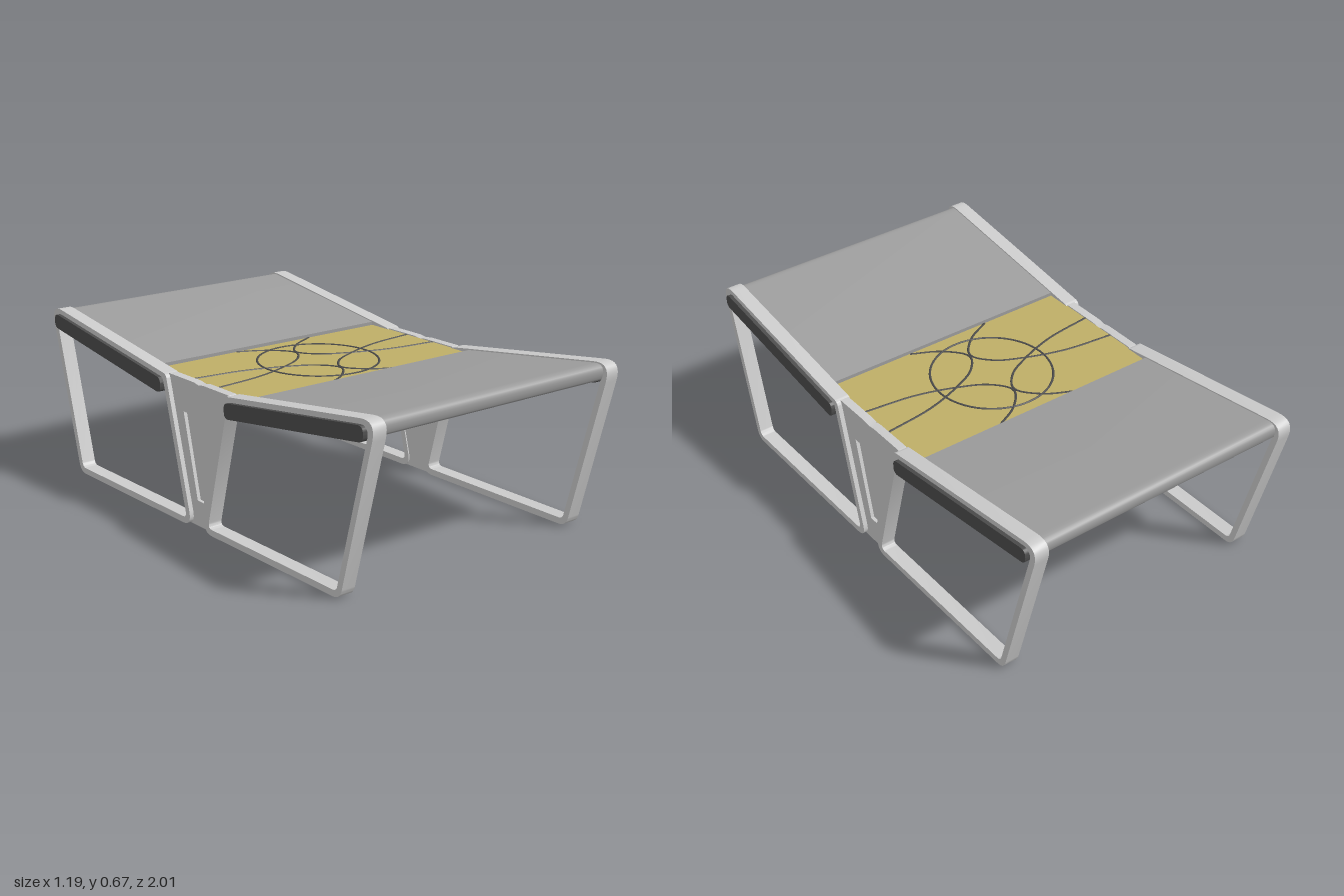
import * as THREE from 'three';
import { toCreasedNormals } from 'three/addons/utils/BufferGeometryUtils.js';

const metal = new THREE.MeshStandardMaterial({ color: 0xcccccc });
const deckGrey = new THREE.MeshStandardMaterial({ color: 0x9d9d9d });
const dark = new THREE.MeshStandardMaterial({ color: 0x4c4c4c });
const gold = new THREE.MeshStandardMaterial({ color: 0xbeae67 });

// Closed outline through [z, y, cornerRadius] points
function outline(points, target = new THREE.Shape()) {
  const n = points.length;
  points.forEach(([z, y, r = 0], i) => {
    const p = new THREE.Vector2(z, y);
    const toPrev = new THREE.Vector2(...points[(i + n - 1) % n].slice(0, 2)).sub(p).normalize();
    const toNext = new THREE.Vector2(...points[(i + 1) % n].slice(0, 2)).sub(p).normalize();
    const t = r / Math.tan(Math.acos(THREE.MathUtils.clamp(toPrev.dot(toNext), -1, 1)) / 2);
    const a = p.clone().addScaledVector(toPrev, t);
    const b = p.clone().addScaledVector(toNext, t);
    if (i === 0) target.moveTo(a.x, a.y); else target.lineTo(a.x, a.y);
    if (r > 0) target.quadraticCurveTo(z, y, b.x, b.y);
  });
  target.closePath();
  return target;
}

// Extrudes a side outline across the width, from x0 to x1
function slab(name, shape, x0, x1, material) {
  const geo = new THREE.ExtrudeGeometry(shape, { depth: x1 - x0, bevelEnabled: false, curveSegments: 8 });
  geo.rotateY(-Math.PI / 2).translate(x1, 0, 0);
  const mesh = new THREE.Mesh(toCreasedNormals(geo, 0.6), material);
  mesh.name = name;
  return mesh;
}

// Moves every edge of a convex counter-clockwise outline inwards
function inset(points, d) {
  const n = points.length;
  const line = (i) => {
    const [ax, ay] = points[i], [bx, by] = points[(i + 1) % n];
    const l = Math.hypot(bx - ax, by - ay);
    const nx = -(by - ay) / l, ny = (bx - ax) / l;
    return [nx, ny, nx * ax + ny * ay + d];
  };
  return points.map(([, , r], i) => {
    const [a, b, c] = line((i + n - 1) % n), [e, f, g] = line(i);
    const det = a * f - b * e;
    return [(c * f - b * g) / det, (a * g - c * e) / det, Math.max(r - d, 0.012)];
  });
}

const mirrorZ = (points) => points.map(([z, y, r]) => [-z, y, r]).reverse();

export function createModel() {
  const model = new THREE.Group();
  model.name = 'lounger';

  // Shallow V deck with rounded ends and a recess for the inlay
  const half = [
    [0.98, 0.602, 0.022], [1.0, 0.6695, 0.038], [0.292, 0.5725], [0.292, 0.54],
  ];
  const deck = outline([[0, 0.468], ...half, ...mirrorZ(half)]);
  model.add(slab('deck', deck, -0.525, 0.525, deckGrey));

  // Flat inlay panel
  const inlay = new THREE.Mesh(new THREE.BoxGeometry(1.054, 0.022, 0.58), gold);
  inlay.name = 'inlayPanel';
  inlay.position.y = 0.549;
  model.add(inlay);

  // Ring and four mirrored curves on the inlay
  const lines = new THREE.Group();
  lines.name = 'inlayLines';
  const ring = new THREE.Mesh(new THREE.TorusGeometry(0.236, 0.005, 6, 64), dark);
  ring.name = 'inlayRing';
  ring.rotation.x = Math.PI / 2;
  lines.add(ring);
  for (const sx of [1, -1]) for (const sz of [1, -1]) {
    const path = new THREE.CatmullRomCurve3([
      [0.18, 0.288], [0.07, 0.228], [0.003, 0.14], [0.055, 0.06], [0.16, 0.003], [0.32, -0.05], [0.527, -0.077],
    ].map(([x, z]) => new THREE.Vector3(x * sx, 0, z * sz)));
    const curve = new THREE.Mesh(new THREE.TubeGeometry(path, 40, 0.005, 6), dark);
    curve.name = 'inlayCurve';
    lines.add(curve);
  }
  lines.position.y = 0.559;
  model.add(lines);

  // Looped leg frames with a padded edge strip under each top rail
  const loop = [[0.037, 0, 0.045], [0.842, 0, 0.05], [1.022, 0.6775, 0.055], [0.187, 0.563, 0.025]];
  const hole = inset(loop, 0.025);
  const strip = [[0.205, 0.486, 0.024], [0.973, 0.593, 0.026], [0.973, 0.651, 0.026], [0.205, 0.546, 0.024]];

  for (const side of [1, -1]) {
    const prefix = side > 0 ? 'left' : 'right';
    const span = (a, b) => (side > 0 ? [a, b] : [-b, -a]);
    for (const end of [1, -1]) {
      const flip = (pts) => (end > 0 ? pts : mirrorZ(pts));
      const where = prefix + (end > 0 ? 'Front' : 'Back');
      const frame = outline(flip(loop));
      frame.holes.push(outline(flip(hole), new THREE.Path()));
      model.add(slab(where + 'LegFrame', frame, ...span(0.522, 0.58), metal));
      model.add(slab(where + 'EdgeStrip', outline(flip(strip)), ...span(0.515, 0.595), dark));
    }

    // Tapered plate joining the two frames, with a recessed wedge panel
    const plateHalf = [[0.09, 0.004], [0.06, 0.05], [0.2, 0.545], [0.19, 0.564], [0.03, 0.564]];
    const plate = outline([...plateHalf, [0, 0.559], ...mirrorZ(plateHalf)]);
    const wedge = [[-0.02, 0.105], [0.02, 0.105], [0.1, 0.435], [-0.1, 0.435]];
    plate.holes.push(outline(wedge, new THREE.Path()));
    model.add(slab(prefix + 'JoiningPlate', plate, ...span(0.527, 0.562), metal));
    model.add(slab(prefix + 'WedgePanel', outline(wedge), ...span(0.527, 0.548), metal));
  }
  return model;
}
